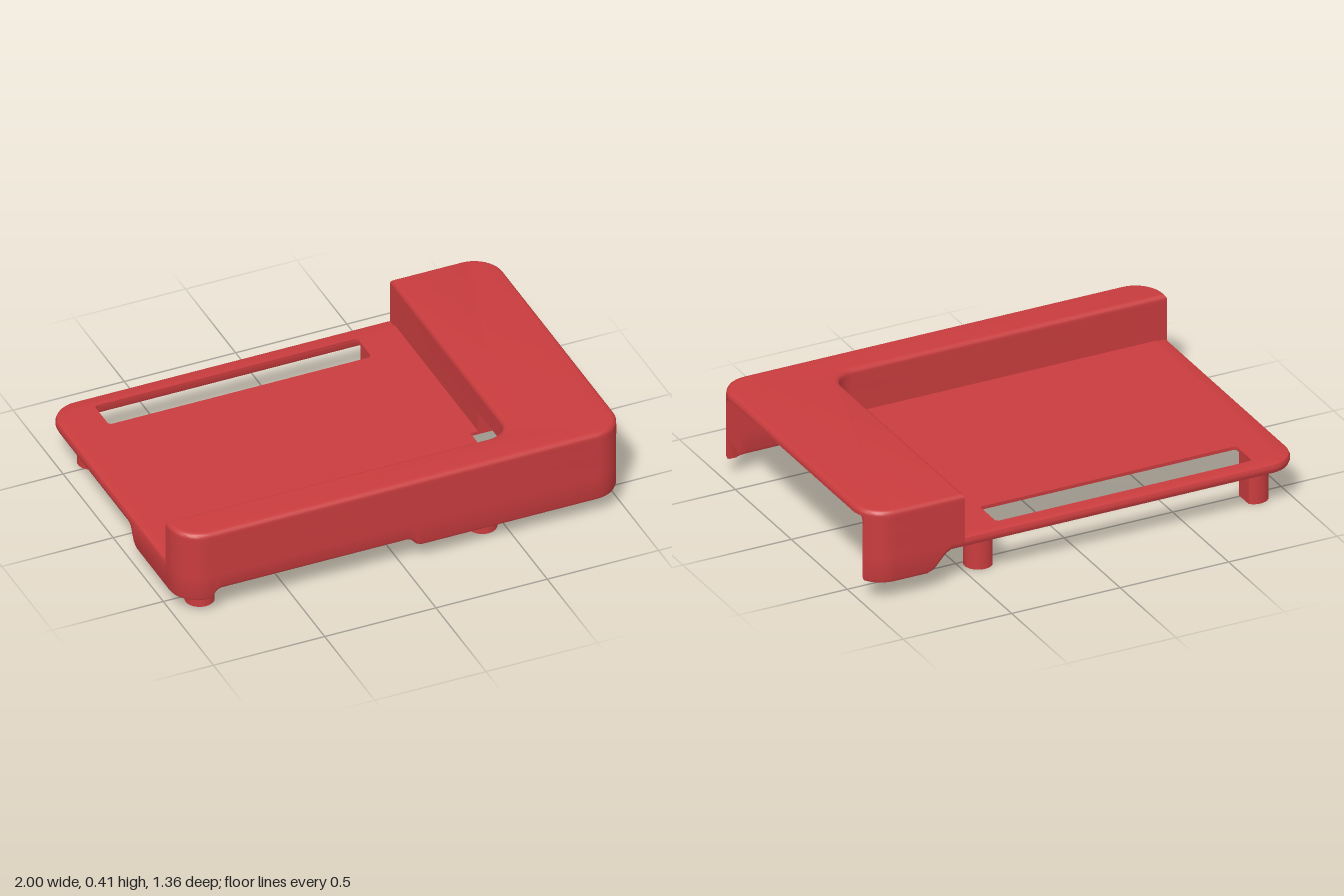
import * as THREE from 'three';
import { toCreasedNormals } from 'three/addons/utils/BufferGeometryUtils.js';

const R = 0.13;        // outer corner radius
const WALL = 0.07;     // wall thickness
const CUT = 0.48;      // angle at which the open end trims the corners

// Points [x, z] along an arc in plan
function arc(cx, cz, r, a0, a1, n = 10) {
  const pts = [];
  for (let i = 0; i <= n; i++) {
    const a = a0 + (a1 - a0) * i / n;
    pts.push([cx + r * Math.cos(a), cz + r * Math.sin(a)]);
  }
  return pts;
}
const toV2 = pts => pts.map(([x, z]) => new THREE.Vector2(x, -z));

// Upright prism from a plan outline, between two heights
function prism(pts, y0, y1, holes = []) {
  const shape = new THREE.Shape(toV2(pts));
  holes.forEach(h => shape.holes.push(new THREE.Path(toV2(h))));
  const g = new THREE.ExtrudeGeometry(shape, { depth: y1 - y0, bevelEnabled: false });
  g.rotateX(-Math.PI / 2).translate(0, y0, 0);
  return toCreasedNormals(g, 0.5);
}

// L-shaped cover with a rounded upper edge and a flat underside
function coverGeometry(pts) {
  const g = new THREE.ExtrudeGeometry(new THREE.Shape(toV2(pts)), {
    depth: 0.01, bevelThickness: 0.02, bevelSize: 0.02, bevelOffset: -0.02, bevelSegments: 4,
  });
  const p = g.attributes.position;
  for (let i = 0; i < p.count; i++) p.setZ(i, Math.max(0, p.getZ(i)));
  g.rotateX(-Math.PI / 2).translate(0, 0.385, 0);
  return toCreasedNormals(g, 0.5);
}

// Lower rim swept round the outline, its bottom edge rising and falling
function rimGeometry(path) {
  const pos = [], idx = [];
  path.forEach(([x, z, bottom], i) => {
    const a = path[Math.max(0, i - 1)], b = path[Math.min(path.length - 1, i + 1)];
    const tx = b[0] - a[0], tz = b[1] - a[1], len = Math.hypot(tx, tz);
    const ix = x - tz / len * WALL;
    let iz = z + tx / len * WALL;
    if (x > 0.6) iz = Math.sign(z) * Math.max(Math.abs(iz), 0.61);
    const raised = z > 0.515 || x > 0.545;
    const r = raised ? 0 : 0.018, top = raised ? 0.2 : 0.215;
    const section = [
      [0, top - r], [0.08, top - 0.3 * r], [0.26, top], [1, top],
      [1, bottom + 0.018], [0.92, bottom + 0.005], [0.74, bottom],
      [0.26, bottom], [0.08, bottom + 0.005], [0, bottom + 0.018],
    ];
    section.forEach(([t, y]) => pos.push(x + (ix - x) * t, y, z + (iz - z) * t));
  });
  const m = 10, last = (path.length - 1) * m;
  for (let i = 0; i < path.length - 1; i++) {
    for (let j = 0; j < m; j++) {
      const a = i * m + j, b = i * m + (j + 1) % m;
      idx.push(a, b, a + m, b, b + m, a + m);
    }
  }
  for (let j = 1; j < m - 1; j++) idx.push(0, j + 1, j, last, last + j, last + j + 1);
  const g = new THREE.BufferGeometry();
  g.setAttribute('position', new THREE.Float32BufferAttribute(pos, 3));
  g.setIndex(idx);
  return toCreasedNormals(g, 0.5);
}

export function createModel() {
  const group = new THREE.Group();
  const red = new THREE.MeshStandardMaterial({ color: 0xc93c3e });
  red.name = 'red plastic';
  const add = (name, geometry) => {
    const mesh = new THREE.Mesh(geometry, red);
    mesh.name = name;
    group.add(mesh);
  };
  const PI = Math.PI, H = PI / 2;

  // Plan pieces shared by the cover and the walls
  const frontRight = arc(0.87, 0.55, R, CUT, H);
  const frontLeft = arc(-0.87, 0.55, R, H, PI);
  const backLeft = arc(-0.87, -0.55, R, PI, PI + H);
  const backRight = arc(0.87, -0.55, R, PI + H, 2 * PI - CUT);
  const stepCorner = arc(0.45, 0.42, 0.1, H, 0);
  const stepStub = arc(0.45, 0.42, 0.1, H, Math.acos(0.65), 5);

  // Cover over the front strip and the side bay
  add('cover', coverGeometry([
    [-1, 0.52], ...stepCorner, [0.55, -0.68],
    ...arc(0.87, -0.55, R, -H, 0), ...arc(0.87, 0.55, R, 0, H),
    ...frontLeft.slice(0, -1), [-1, 0.55],
  ]));

  // Walls beneath the cover, interrupted by the cable window in the step
  const front = [...frontRight, ...frontLeft];
  add('upperWalls', prism([
    [-1, 0.52], ...stepCorner, [0.55, -0.68], ...backRight,
    [0.62, -0.61], [0.62, 0.61], ...front,
  ], 0.31, 0.385));
  add('frontWall', prism([
    [-1, 0.52], ...stepStub, [0.515, 0.58], [0.62, 0.58], [0.62, 0.61], ...front,
  ], 0.2, 0.31));
  add('stepWall', prism([
    [0.55, 0.2], [0.55, -0.68], ...backRight, [0.62, -0.61], [0.62, 0.2],
  ], 0.2, 0.31));

  // Fillets in the upper corners of the open bay
  for (const s of [1, -1]) {
    const f = new THREE.Shape();
    f.moveTo(-0.615 * s, 0.39);
    f.lineTo(-0.57 * s, 0.39);
    f.lineTo(-0.57 * s, 0.385);
    f.quadraticCurveTo(-0.61 * s, 0.385, -0.61 * s, 0.345);
    f.lineTo(-0.615 * s, 0.345);
    const g = new THREE.ExtrudeGeometry(f, { depth: 0.37, bevelEnabled: false, curveSegments: 8 });
    g.rotateY(H).translate(0.615, 0, 0);
    add('bayFillet', toCreasedNormals(g, 0.5));
  }

  // Low deck with the long slot and the cable notch
  const slot = [
    ...arc(0.355, -0.48, 0.015, H, 0, 4), ...arc(0.355, -0.595, 0.015, 0, -H, 4),
    ...arc(-0.795, -0.595, 0.015, -H, -PI, 4), ...arc(-0.795, -0.48, 0.015, PI, H, 4),
  ];
  add('deck', prism([
    [0.62, 0.61], [0.62, 0.58], [0.515, 0.58], [0.515, 0.2], [0.62, 0.2], [0.62, -0.63],
    ...arc(-0.87, -0.55, 0.08, -H, -PI), [-0.95, 0.61],
  ], 0.2, 0.215, [slot]));

  // Lower rim: [x, z, bottom height] round the outline
  const low = pts => pts.map(([x, z]) => [x, z, 0.083]);
  add('lowerRim', rimGeometry([
    ...low(frontRight),
    [0.08, 0.68, 0.083], [0.06, 0.68, 0.092], [0.04, 0.68, 0.115], [0.02, 0.68, 0.125],
    [-0.82, 0.68, 0.125], [-0.84, 0.68, 0.115], [-0.855, 0.68, 0.092], [-0.868, 0.68, 0.083],
    ...low(frontLeft), [-1, 0.52, 0.083], [-1, 0.514, 0.083],
    [-1, 0.225, 0.083], [-1, 0.205, 0.095], [-1, 0.175, 0.155], [-1, 0.15, 0.168],
    ...backLeft.map(([x, z]) => [x, z, 0.168]),
    [0.544, -0.68, 0.168], [0.55, -0.68, 0.168],
    [0.61, -0.68, 0.168], [0.635, -0.68, 0.155], [0.69, -0.68, 0.095], [0.72, -0.68, 0.083],
    ...low(backRight),
  ]));

  // Four hollow feet; the rear pair are cut flat where they meet the slot
  const feet = [
    [-0.855, 0.54, -1, 1], [0.415, 0.54, -1, 1],
    [-0.855, -0.535, -1, -0.81], [0.415, -0.535, 0.37, 1],
  ];
  for (const [x, z, min, max] of feet) {
    const outline = arc(x, z, 0.062, 0, 2 * PI, 32).slice(0, -1)
      .map(([px, pz]) => [Math.min(max, Math.max(min, px)), pz]);
    const bore = arc(x, z, 0.02, 0, 2 * PI, 16).slice(0, -1);
    add('foot', prism(outline, 0, 0.2, [bore]));
  }
  return group;
}
